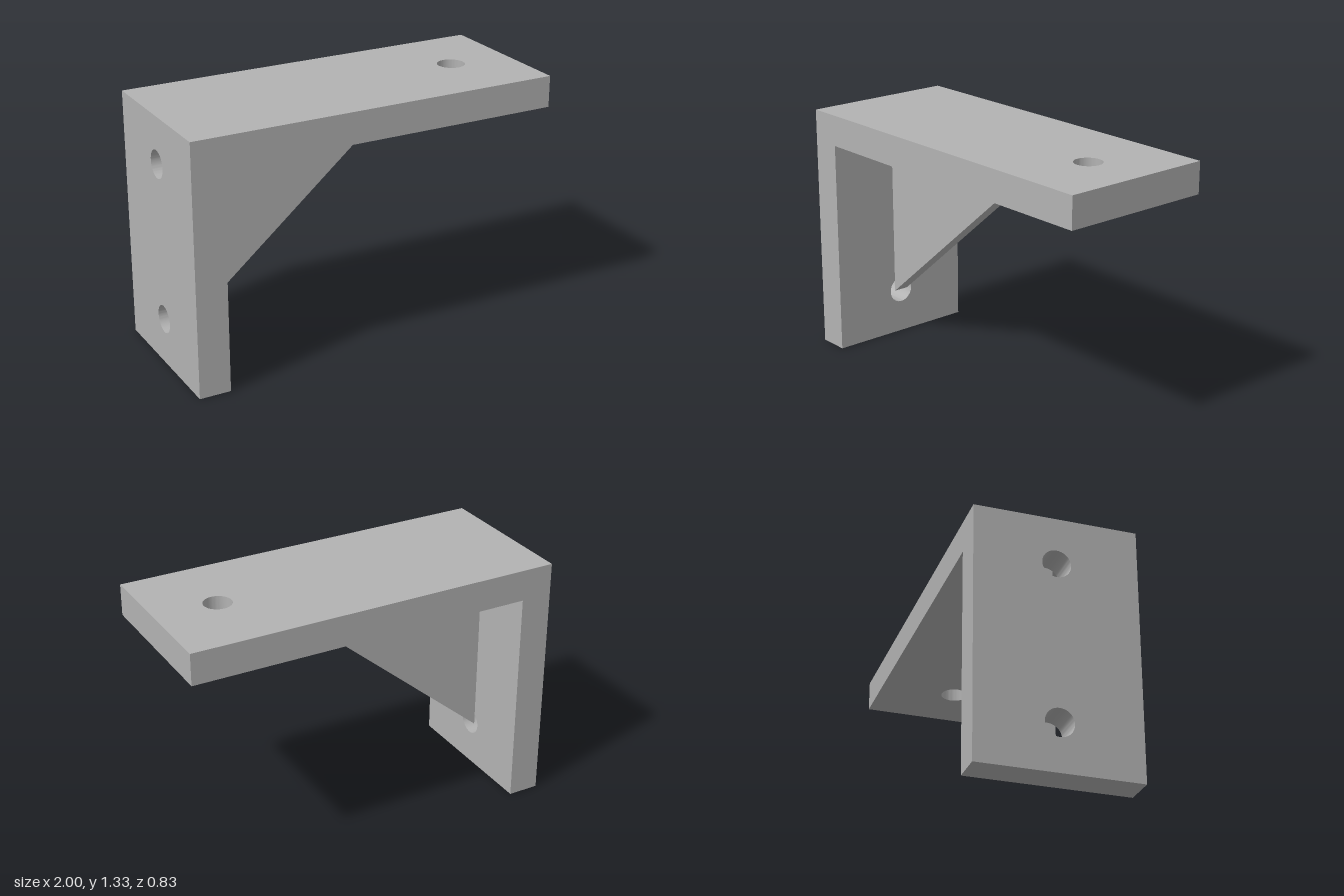
import * as THREE from 'three';
import { toCreasedNormals } from 'three/addons/utils/BufferGeometryUtils.js';

const LENGTH = 2, HEIGHT = 4 / 3, DEPTH = 5 / 6, THICK = 1 / 6;
const RIB = 1 / 12, HOLE_R = 0.073;

// Extrude an outline with round holes, smooth inside the holes
function drilledPlate(points, depth, holes = []) {
  const shape = new THREE.Shape(points.map(([x, y]) => new THREE.Vector2(x, y)));
  for (const [x, y] of holes) {
    shape.holes.push(new THREE.Path().absarc(x, y, HOLE_R, 0, Math.PI * 2, true));
  }
  const geometry = new THREE.ExtrudeGeometry(shape, { depth, bevelEnabled: false, curveSegments: 32 });
  return toCreasedNormals(geometry, 0.5);
}

function rectangle(x0, y0, x1, y1) {
  return [[x0, y0], [x1, y0], [x1, y1], [x0, y1]];
}

export function createModel() {
  const grey = new THREE.MeshStandardMaterial({ color: 0xb3b3b3 });
  grey.name = 'grey';

  const group = new THREE.Group();
  group.name = 'shelfBracket';
  const add = (name, geometry) => {
    const mesh = new THREE.Mesh(geometry, grey);
    mesh.name = name;
    group.add(mesh);
  };

  const under = HEIGHT - THICK;
  const wallX = -LENGTH / 2 + THICK;

  // Horizontal arm with one screw hole near its free end
  add('topPlate', drilledPlate(
    rectangle(-LENGTH / 2, -DEPTH / 2, LENGTH / 2, DEPTH / 2), THICK, [[2 / 3, 0]])
    .rotateX(-Math.PI / 2).translate(0, under, 0));

  // Upright arm with two screw holes
  add('wallPlate', drilledPlate(
    rectangle(-DEPTH / 2, 0, DEPTH / 2, under), THICK, [[0, 0.25], [0, 13 / 12]])
    .rotateY(Math.PI / 2).translate(-LENGTH / 2, 0, 0));

  // Triangular stiffening rib in the inner corner
  add('rib', drilledPlate([[wallX, 0.25], [0.25, under], [wallX, under]], RIB)
    .translate(0, 0, -RIB / 2));

  return group;
}
